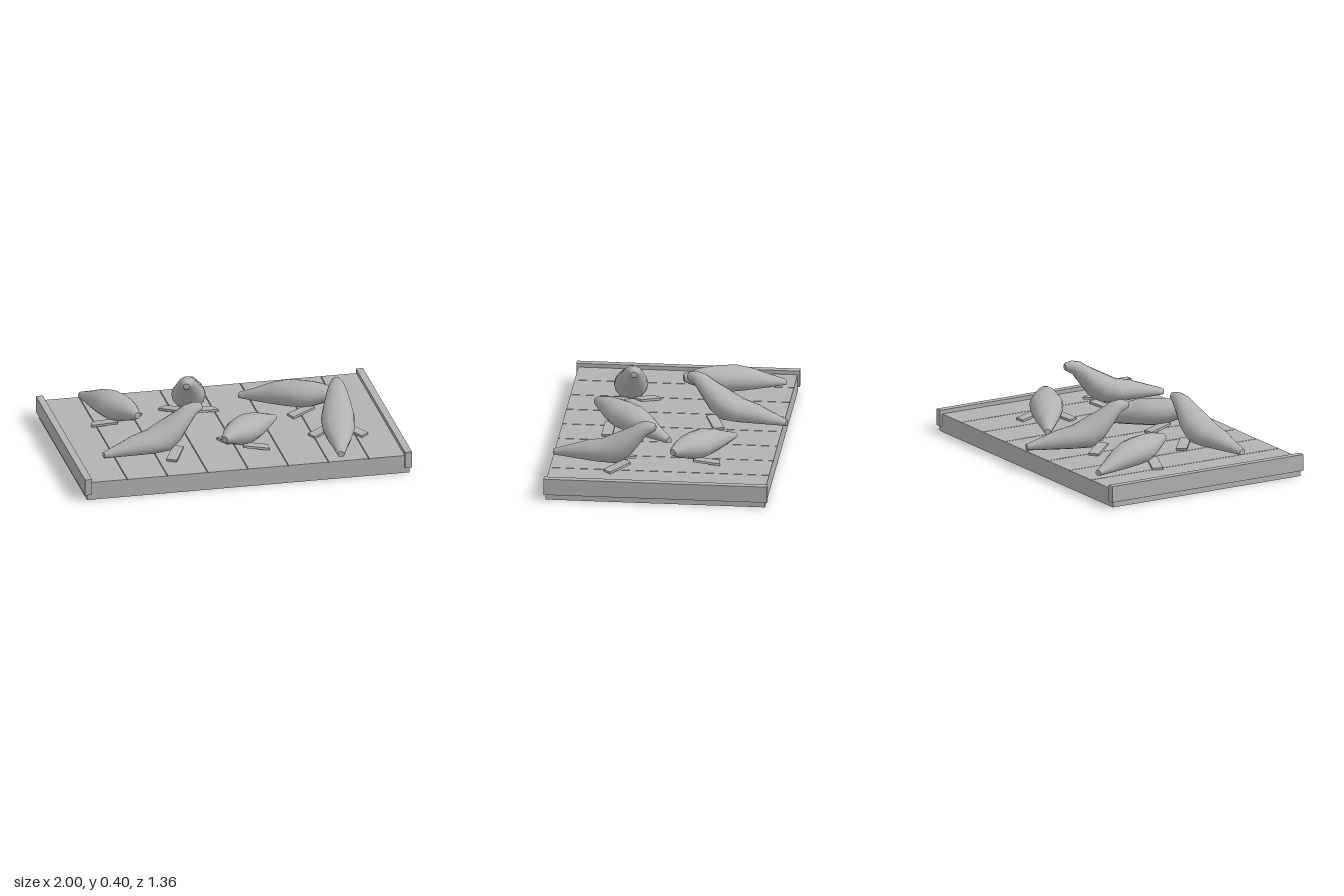
import * as THREE from 'three';

const grey = new THREE.MeshStandardMaterial({ color: 0xb2b2b2 });
grey.name = 'plain grey';

function box(name, parent, w, h, d, x, y, z) {
  const mesh = new THREE.Mesh(new THREE.BoxGeometry(w, h, d), grey);
  mesh.name = name;
  mesh.position.set(x, y, z);
  parent.add(mesh);
  return mesh;
}

// Body sections from tail to head: [distance, half width, top, bottom]
const raisedPose = [
  [0, 0.02, 0.17, 0.132], [0.1, 0.046, 0.205, 0.128], [0.2, 0.076, 0.24, 0.125],
  [0.3, 0.097, 0.262, 0.122], [0.4, 0.102, 0.315, 0.122], [0.47, 0.086, 0.352, 0.17],
  [0.53, 0.064, 0.39, 0.25], [0.58, 0.044, 0.4, 0.318], [0.622, 0.027, 0.393, 0.343],
  [0.63, 0.02, 0.383, 0.347],
];
const lyingPose = [
  [0, 0.02, 0.165, 0.13], [0.1, 0.046, 0.205, 0.125], [0.2, 0.076, 0.25, 0.123],
  [0.3, 0.097, 0.28, 0.122], [0.4, 0.102, 0.285, 0.125], [0.47, 0.086, 0.285, 0.14],
  [0.53, 0.064, 0.28, 0.165], [0.58, 0.044, 0.268, 0.185], [0.622, 0.027, 0.256, 0.205],
  [0.63, 0.02, 0.25, 0.21],
];

// Loft elliptical rings along +z, with separate rings for the flat end caps
function loftBody(sections) {
  const n = 14, pos = [], idx = [];
  const ring = ([s, hw, top, bottom]) => {
    for (let j = 0; j < n; j++) {
      const a = (j / n) * Math.PI * 2;
      pos.push(hw * Math.cos(a), (top + bottom) / 2 + ((top - bottom) / 2) * Math.sin(a), s);
    }
  };
  sections.forEach(ring);
  for (let i = 0; i < sections.length - 1; i++) {
    for (let j = 0; j < n; j++) {
      const a = i * n + j, b = i * n + ((j + 1) % n);
      idx.push(a, b, b + n, a, b + n, a + n);
    }
  }
  const tail = sections.length * n, head = tail + n;
  ring(sections[0]);
  ring(sections[sections.length - 1]);
  for (let j = 1; j < n - 1; j++) {
    idx.push(tail, tail + j + 1, tail + j, head, head + j, head + j + 1);
  }
  const geo = new THREE.BufferGeometry();
  geo.setAttribute('position', new THREE.Float32BufferAttribute(pos, 3));
  geo.setIndex(idx);
  geo.computeVertexNormals();
  return geo;
}

function makeSeal(bodyGeometry, [tx, tz], [hx, hz]) {
  const seal = new THREE.Group();
  seal.name = 'seal';
  const body = new THREE.Mesh(bodyGeometry, grey);
  body.name = 'body';
  seal.add(body);
  // Swept-back front flippers, sloping down to the deck
  for (const side of [-1, 1]) {
    const flipper = box(side > 0 ? 'leftFlipper' : 'rightFlipper', seal,
      0.16, 0.014, 0.065, side * 0.097, 0.132, 0.42);
    flipper.rotation.set(0, side * 0.66, -side * 0.17);
  }
  seal.position.set(tx, 0, tz);
  seal.rotation.y = Math.atan2(hx - tx, hz - tz);
  return seal;
}

export function createModel() {
  const model = new THREE.Group();
  model.name = 'sealDock';

  // Floating deck: solid base topped with narrow-seamed planks
  const dock = new THREE.Group();
  dock.name = 'dock';
  model.add(dock);
  box('deckBase', dock, 1.97, 0.106, 1.315, 0, 0.053, 0.005);
  const planks = 8, pitch = 1.97 / planks;
  for (let i = 0; i < planks; i++) {
    box('plank', dock, pitch - 0.005, 0.006, 1.315, (i + 0.5 - planks / 2) * pitch, 0.108, 0.005);
  }
  for (const side of [-1, 1]) {
    box(side > 0 ? 'leftRail' : 'rightRail', dock, 0.043, 0.1, 1.34, side * 0.9785, 0.085, 0.004);
  }

  // Seals: tail point, then head point, as [x, z]
  const raised = loftBody(raisedPose), lying = loftBody(lyingPose);
  const seals = [
    [lying, [-0.74, -0.605], [-0.52, 0]],
    [raised, [-0.045, -0.68], [-0.215, -0.06]],
    [lying, [0.18, -0.39], [0.73, -0.07]],
    [raised, [-0.815, 0.36], [-0.19, 0.25]],
    [lying, [0.31, -0.01], [-0.105, 0.475]],
    [raised, [0.57, 0.655], [0.68, 0.03]],
  ];
  for (const [geometry, tail, head] of seals) model.add(makeSeal(geometry, tail, head));
  return model;
}
